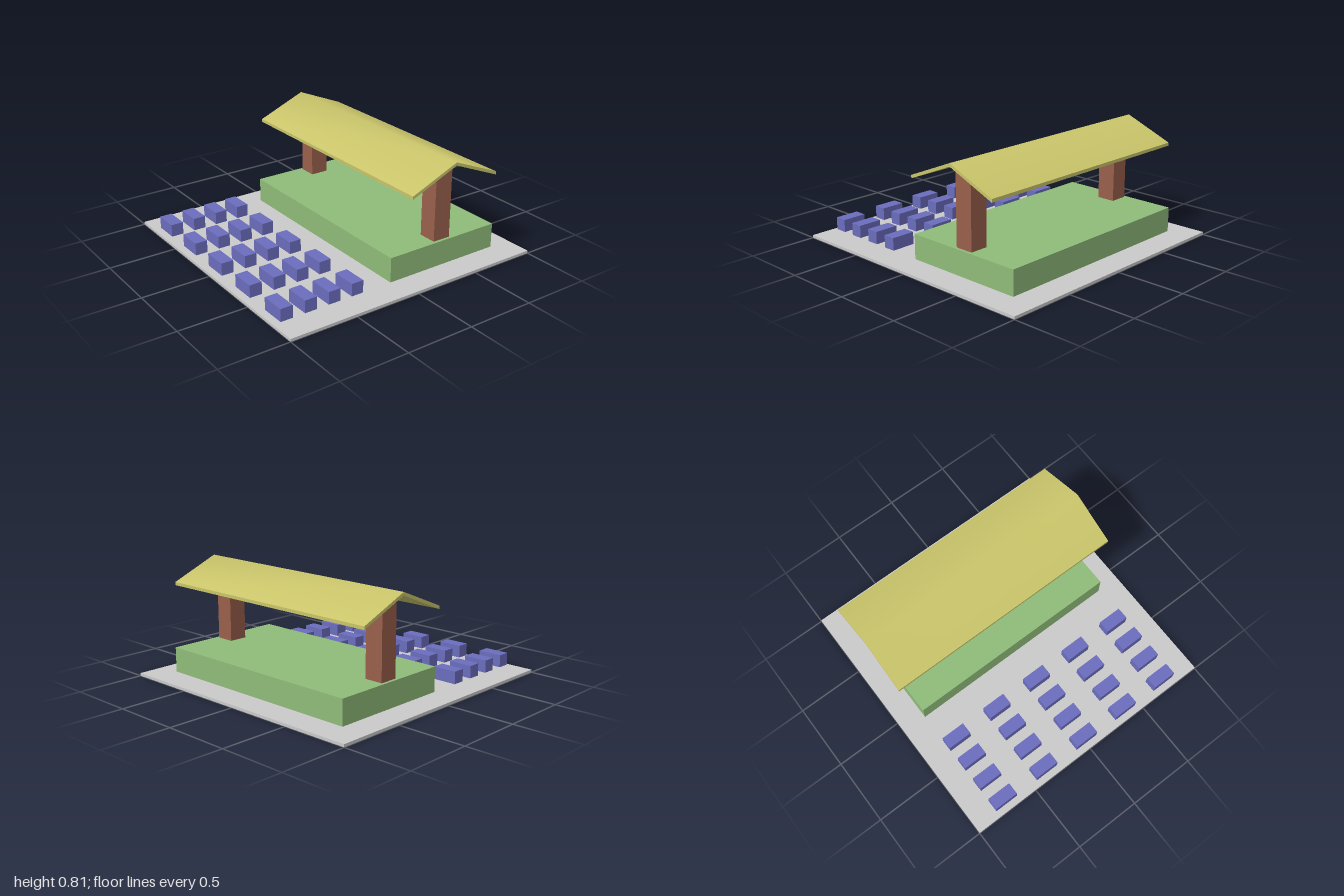
import * as THREE from 'three';
import { toCreasedNormals } from 'three/addons/utils/BufferGeometryUtils.js';

const material = (name, color) => {
  const m = new THREE.MeshStandardMaterial({ color });
  m.name = name;
  return m;
};

// Box given by its centre in x and z, and its bottom and top heights
function block(name, mat, x, z, width, depth, bottom, top) {
  const mesh = new THREE.Mesh(new THREE.BoxGeometry(width, top - bottom, depth), mat);
  mesh.position.set(x, (bottom + top) / 2, z);
  mesh.name = name;
  return mesh;
}

export function createModel() {
  const paving = material('paving grey', 0xcacaca);
  const green = material('stage green', 0x8fbc79);
  const brown = material('pillar brown', 0x995f4b);
  const yellow = material('roof yellow', 0xcac56a);
  const blue = material('seat blue', 0x6b6dbd);

  const model = new THREE.Group();
  model.name = 'openAirStage';
  const stageZ = -0.363;

  // Ground slab and raised stage
  model.add(block('ground', paving, 0, 0, 2, 2, 0, 0.02));
  model.add(block('stage', green, 0, stageZ, 1.632, 0.907, 0.03, 0.21));

  // One pillar at each end of the stage
  for (const side of [-1, 1]) {
    model.add(block(side < 0 ? 'rightPillar' : 'leftPillar', brown,
      side * 0.726, stageZ, 0.136, 0.136, 0.21, 0.765));
  }

  // Gabled roof: thin chevron section, smooth over the ridge, sharp at the eaves
  const half = 0.363, length = 1.814;
  const section = new THREE.Shape([
    [-half, 0.637], [0, 0.787], [half, 0.637],
    [half, 0.66], [0, 0.81], [-half, 0.66],
  ].map(([x, y]) => new THREE.Vector2(x, y)));
  const roofGeometry = new THREE.ExtrudeGeometry(section, { depth: length, bevelEnabled: false });
  roofGeometry.translate(0, 0, -length / 2);
  roofGeometry.rotateY(Math.PI / 2);
  const roof = new THREE.Mesh(toCreasedNormals(roofGeometry, 1), yellow);
  roof.position.z = stageZ;
  roof.name = 'roof';
  model.add(roof);

  // Four rows of five seats facing the stage
  const seats = new THREE.Group();
  seats.name = 'seats';
  for (let row = 0; row < 4; row++) {
    for (let col = -2; col <= 2; col++) {
      seats.add(block('seat', blue, col * 0.363, 0.363 + row * 0.1815, 0.181, 0.091, 0.03, 0.121));
    }
  }
  model.add(seats);

  return model;
}
